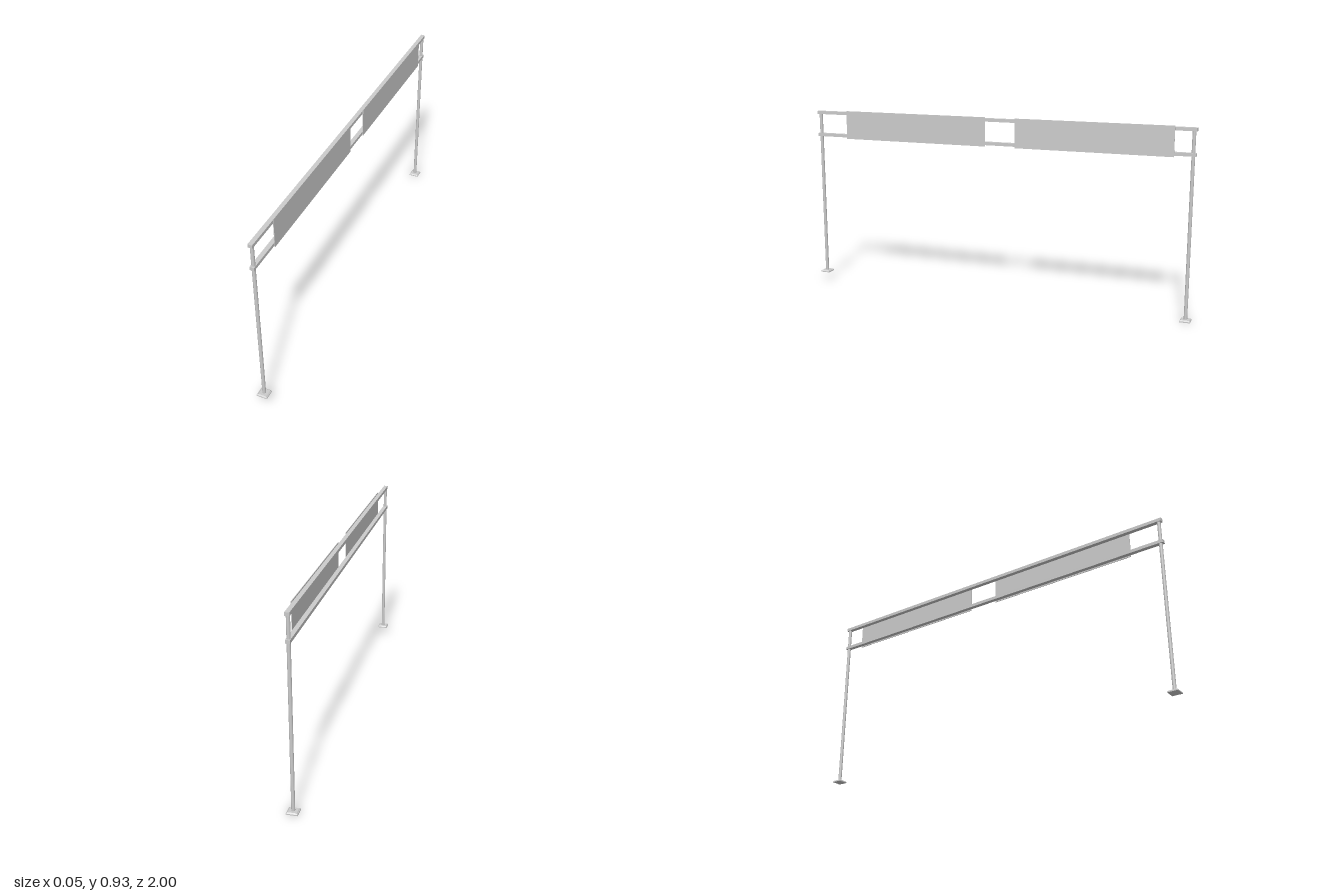
import * as THREE from 'three';

export function createModel() {
  const model = new THREE.Group();
  const grey = new THREE.MeshStandardMaterial({ color: 0xcccccc, flatShading: true });
  const smooth = new THREE.MeshStandardMaterial({ color: 0xcccccc });

  function add(name, geometry, x, y, z, material = grey) {
    const mesh = new THREE.Mesh(geometry, material);
    mesh.name = name;
    mesh.position.set(x, y, z);
    model.add(mesh);
    return mesh;
  }

  // Posts on foot plates; the front foot stands on higher ground
  const posts = [
    { name: 'front', z: 0.975, ground: 0.046 },
    { name: 'back', z: -0.975, ground: 0 },
  ];
  const top = 0.915;
  for (const { name, z, ground } of posts) {
    const height = top - ground - 0.004;
    add(name + 'Post', new THREE.CylinderGeometry(0.0085, 0.0085, height, 16), -0.001, top - height / 2, z, smooth);
    add(name + 'FootPlate', new THREE.BoxGeometry(0.052, 0.005, 0.05), -0.001, ground + 0.0025, z);
    // Bevelled upper half of the plate
    const bevel = new THREE.CylinderGeometry(0.04 / Math.SQRT2, 0.05 / Math.SQRT2, 0.005, 4).rotateY(Math.PI / 4);
    add(name + 'FootBevel', bevel, -0.001, ground + 0.0075, z);
  }

  // Two horizontal rails
  for (const [name, y] of [['upperRail', 0.917], ['lowerRail', 0.8]]) {
    add(name, new THREE.BoxGeometry(0.021, 0.016, 1.98), -0.001, y, 0);
  }

  // Two thin sign panels on the left face of the rails
  for (const [name, z] of [['frontPanel', 0.428], ['backPanel', -0.502]]) {
    add(name, new THREE.BoxGeometry(0.003, 0.145, 0.775), 0.0112, 0.858, z);
  }
  return model;
}
